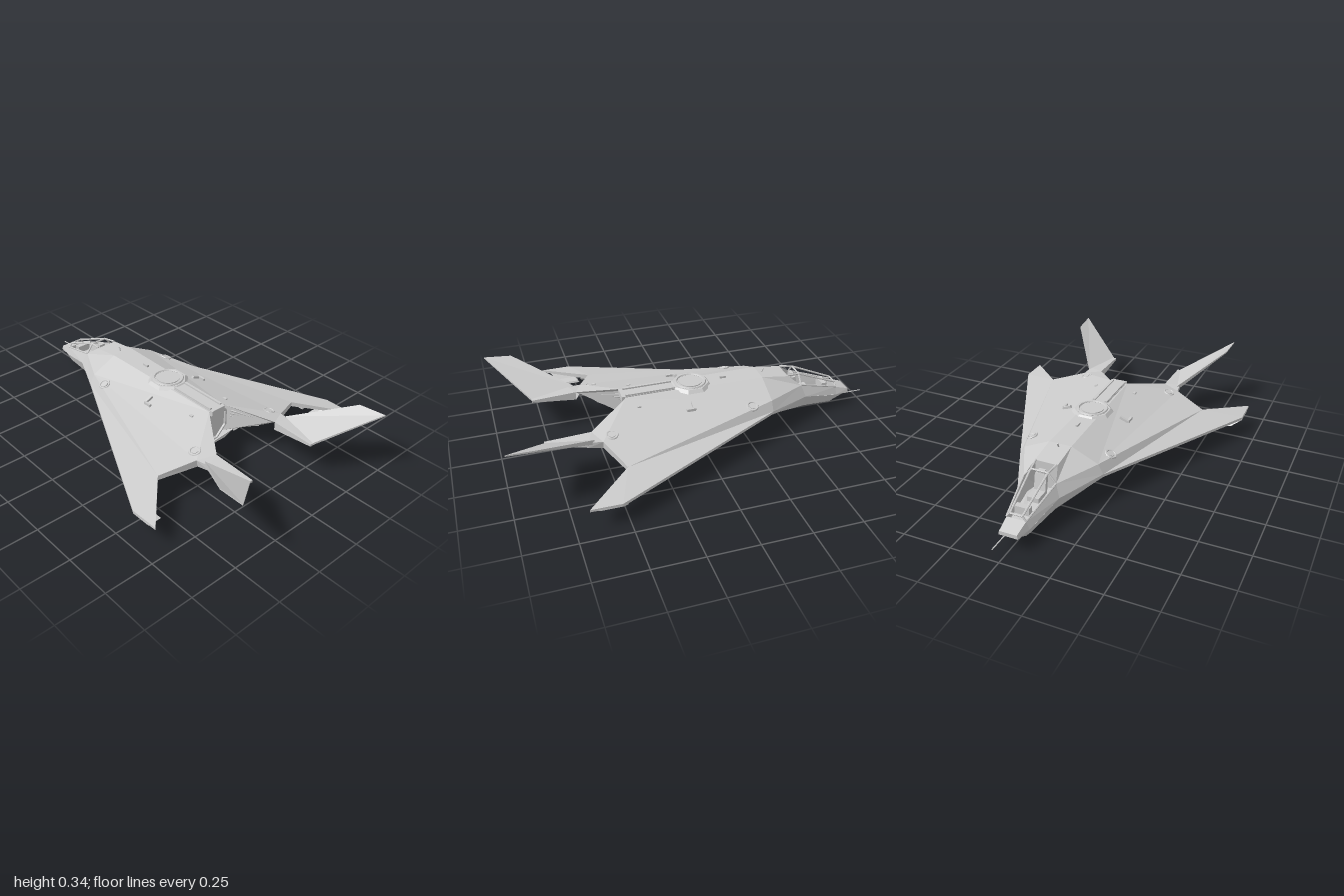
import * as THREE from 'three';

const grey = new THREE.MeshStandardMaterial({ color: 0xcccccc, flatShading: true, side: THREE.DoubleSide });
const dark = new THREE.MeshStandardMaterial({ color: 0xcccccc, flatShading: true, side: THREE.DoubleSide });
const V = (x, y, z) => new THREE.Vector3(x, y, z);

export function createModel() {
  const model = new THREE.Group();
  const add = (name, geo, x = 0, y = 0, z = 0, mat = grey, parent = model) => {
    const m = new THREE.Mesh(geo, mat);
    m.name = name;
    m.position.set(x, y, z);
    parent.add(m);
    return m;
  };

  // Flat panels given for the +x half, mirrored, each facing its hint direction
  const skin = (name, panels, mat = grey) => {
    const pos = [];
    for (const s of [1, -1]) for (const [hint, ...pts] of panels) {
      const h = V(hint[0] * s, hint[1], hint[2]);
      const p = pts.map(a => V(a[0] * s, a[1], a[2]));
      for (let i = 1; i < p.length - 1; i++) {
        const t = [p[0], p[i], p[i + 1]];
        const n = t[1].clone().sub(t[0]).cross(t[2].clone().sub(t[0]));
        if (n.dot(h) < 0) t.reverse();
        t.forEach(q => pos.push(q.x, q.y, q.z));
      }
    }
    const g = new THREE.BufferGeometry();
    g.setAttribute('position', new THREE.Float32BufferAttribute(pos, 3));
    g.computeVertexNormals();
    return add(name, g, 0, 0, 0, mat);
  };
  const bar = (name, a, b, r = 0.005, sides = 6) => {
    const p = V(...a), q = V(...b);
    const m = add(name, new THREE.CylinderGeometry(r, r, p.distanceTo(q), sides));
    m.position.copy(p).lerp(q, 0.5);
    m.quaternion.setFromUnitVectors(V(0, 1, 0), q.sub(p).normalize());
    return m;
  };
  const both = fn => [1, -1].forEach(fn);
  const UP = [0, 1, 0], DOWN = [0, -1, 0], OUT = [1, 0.3, 0], IN = [-1, 0, 0.4], BACK = [0, 0, 1], FORE = [0, 0, -1];

  // Key points of the upper skin
  const nT = [0.045, 0.1, -0.91], nC = [0.05, 0.08, -0.91], A = [0.05, 0.125, -0.83], Ac = [0.065, 0.085, -0.83];
  const B = [0.085, 0.195, -0.6], Bc = [0.11, 0.135, -0.62], S = [0.06, 0.25, -0.53];
  const s0 = [0.06, 0.27, -0.38], d0 = [0.2, 0.205, -0.38], c0 = [0.227, 0.155, -0.38];
  const s1 = [0.05, 0.27, 0.36], e = [0.135, 0.235, 0.42], f = [0.2, 0.205, 0.57], g = [0.2, 0.195, 0.8], g2 = [0.225, 0.195, 0.8];
  const h1 = [0.29, 0.195, 0.53], h = [0.28, 0.2, 0.6], n = [0.463, 0.15, 0.455], t = [0.67, 0.11, 0.68], c2 = [0.672, 0.11, 0.53];
  const low = (p, d) => [p[0], p[1] - d, p[2]];
  const mid = p => [0, p[1], p[2]];

  skin('upperFuselage', [
    [UP, mid(nT), nT, A, mid(A)], [OUT, nT, nC, Ac, A], [OUT, A, Ac, Bc, B],
    [OUT, B, Bc, c0, d0], [UP, B, d0, s0, S], [UP, mid(S), S, s0, mid(s0)],
    [UP, mid(s0), s0, s1, mid(s1)], [UP, s1, s0, d0, h1, f, e],
    [FORE, mid(nT), nT, nC, mid(nC)],
  ]);
  skin('wings', [
    [UP, n, h1, d0, c0, c2, t],
    [DOWN, low(n, 0.025), [0.283, 0.155, 0.53], [0.25, 0.125, 0.36], [0.25, 0.12, 0], [0.25, 0.125, -0.22], [0.205, 0.13, -0.42], low(c0, 0.015), low(c2, 0.015), low(t, 0.012)],
    [OUT, c0, low(c0, 0.015), low(c2, 0.015), c2], [OUT, c2, low(c2, 0.015), low(t, 0.012), t],
    [BACK, t, low(t, 0.012), low(n, 0.025), n], [BACK, n, low(n, 0.025), [0.283, 0.155, 0.53], h1],
    [OUT, Bc, c0, low(c0, 0.015), [0.205, 0.13, -0.42]],
  ]);
  skin('tailBooms', [
    [UP, f, h1, h, g2, g], [DOWN, low(f, 0.045), [0.283, 0.155, 0.53], low(h, 0.03), low(g2, 0.012), low(g, 0.012)],
    [IN, f, g, low(g, 0.012), low(f, 0.045)], [OUT, h1, h, low(h, 0.03), [0.283, 0.155, 0.53]],
    [OUT, h, g2, low(g2, 0.012), low(h, 0.03)], [BACK, g, g2, low(g2, 0.012), low(g, 0.012)],
  ]);

  // Canted tail fins, thick at the root and thin at the tip
  const r1 = [0.275, 0.205, 0.57], r2 = [0.215, 0.197, 0.8], q1 = [0.47, 0.335, 0.86], q2 = [0.478, 0.343, 1.0];
  const b1 = low(r1, 0.025), b2 = low(r2, 0.012), k1 = low(q1, 0.007), k2 = low(q2, 0.007);
  skin('tailFins', [
    [[-0.6, 1, 0], r1, q1, q2, r2], [[0.6, -1, 0], b1, k1, k2, b2],
    [FORE, r1, q1, k1, b1], [BACK, r2, q2, k2, b2], [OUT, q1, q2, k2, k1],
  ]);

  // Belly: half sections of centre, keel edge, lower side and wing joint
  const sec = (z, ...p) => p.map(([x, y]) => [x, y, z]);
  const belly = [
    sec(-0.91, [0, 0.08], [0.025, 0.08], [0.04, 0.08], [0.05, 0.08]),
    sec(-0.81, [0, 0.028], [0.035, 0.028], [0.055, 0.05], [0.068, 0.087]),
    sec(-0.62, [0, 0.042], [0.045, 0.042], [0.085, 0.065], [0.11, 0.135]),
    sec(-0.42, [0, 0.055], [0.06, 0.055], [0.13, 0.08], [0.205, 0.13]),
    sec(-0.22, [0, 0.028], [0.07, 0.028], [0.15, 0.065], [0.25, 0.125]),
    sec(0, [0, 0.003], [0.07, 0.003], [0.145, 0.045], [0.25, 0.12]),
    sec(0.34, [0, 0.04], [0.09, 0.04], [0.145, 0.065], [0.25, 0.125]),
  ];
  const shell = [];
  for (let i = 0; i < belly.length - 1; i++) for (let j = 0; j < 3; j++) {
    // The side strip is left open at the intakes and the aft bays
    if (j === 2 && (i === 3 || i === 5)) continue;
    const a = belly[i], b = belly[i + 1];
    shell.push([j ? [0.6, -1, 0] : DOWN, a[j], a[j + 1], b[j + 1], b[j]]);
  }
  skin('belly', shell);
  skin('bellyPan', [
    [UP, [0, 0.05, 0], [0.14, 0.05, 0], [0.14, 0.068, 0.34], [0, 0.05, 0.34]],
    [BACK, [0, 0.05, 0.34], [0, 0.04, 0.34], [0.09, 0.04, 0.34], [0.145, 0.066, 0.34]],
    [BACK, [0, 0.05, 0], [0.145, 0.045, 0], [0.25, 0.12, 0], [0.2, 0.2, 0], [0.05, 0.26, 0], [0, 0.26, 0]],
  ]);
  skin('intakeDucts', [
    [OUT, [0.13, 0.08, -0.42], [0.15, 0.065, -0.22], [0.17, 0.12, -0.22], [0.14, 0.13, -0.42]],
    [DOWN, [0.14, 0.13, -0.42], [0.205, 0.132, -0.42], [0.25, 0.127, -0.22], [0.17, 0.12, -0.22]],
  ], dark);
  both(s => {
    bar('intakeFrame', [s * 0.14, 0.073, -0.31], [s * 0.228, 0.13, -0.33], 0.005, 4);
    bar('bayStrut', [s * 0.145, 0.065, 0.34], [s * 0.25, 0.128, 0.4], 0.011, 4);
    bar('bayBrace', [s * 0.145, 0.058, 0.2], [s * 0.25, 0.124, 0.12], 0.006, 4);
  });

  // Rear bulkhead, octagonal exhaust and louvred side grilles
  const gl = [[0.1, 0.065, 0.31], [0.1, 0.225, 0.31], [0.2, 0.195, 0.55], [0.235, 0.115, 0.46]];
  skin('rearBulkhead', [
    [BACK, [0, 0.27, 0.3], [0.06, 0.265, 0.3], [0.11, 0.22, 0.31], [0.11, 0.07, 0.31], [0.07, 0.045, 0.3], [0, 0.045, 0.3]],
    [IN, ...gl], [IN, s1, e, f, gl[2], gl[1]], [IN, f, gl[2], gl[3], [0.283, 0.155, 0.53]],
    [DOWN, gl[0], gl[3], [0.25, 0.125, 0.36], [0.145, 0.066, 0.34]],
  ]);
  both(s => {
    for (let i = 0; i < 7; i++) {
      const u = 0.14 + i * 0.12, lerp = (a, b, k) => a.map((v, j) => v + (b[j] - v) * k);
      const a = lerp(gl[0], gl[1], u), b = lerp(gl[3], gl[2], u);
      const p = lerp(a, b, 0.15), q = lerp(a, b, 0.88);
      bar('grilleLouvre', [p[0] * s, p[1], p[2] + 0.004], [q[0] * s, q[1], q[2] + 0.004], 0.005, 4);
    }
  });
  const disc = add('exhaustDisc', new THREE.CylinderGeometry(0.1, 0.1, 0.05, 32), 0, 0.157, 0.3, dark);
  disc.rotation.x = Math.PI / 2;
  const rim = add('exhaustRim', new THREE.TorusGeometry(0.108, 0.009, 6, 8), 0, 0.157, 0.325);
  rim.rotation.z = Math.PI / 8;

  // Cockpit tub, seat and open canopy frame
  skin('cockpitTub', [
    [UP, [0, 0.09, -0.83], [0.045, 0.09, -0.83], [0.07, 0.11, -0.6], [0.055, 0.11, -0.53], [0, 0.11, -0.53]],
    [IN, A, B, [0.07, 0.11, -0.6], [0.045, 0.09, -0.83]], [IN, B, S, [0.055, 0.11, -0.53], [0.07, 0.11, -0.6]],
    [FORE, mid(S), S, [0.055, 0.11, -0.53], [0, 0.11, -0.53]],
    [BACK, mid(A), A, [0.045, 0.09, -0.83], [0, 0.09, -0.83]],
  ]);
  add('seatCushion', new THREE.BoxGeometry(0.06, 0.025, 0.07), 0, 0.128, -0.64);
  add('seatBack', new THREE.BoxGeometry(0.06, 0.1, 0.02), 0, 0.17, -0.59).rotation.x = 0.2;
  add('headRest', new THREE.BoxGeometry(0.035, 0.03, 0.018), 0, 0.222, -0.575);
  add('instrumentPanel', new THREE.BoxGeometry(0.075, 0.04, 0.03), 0, 0.135, -0.765);
  both(s => {
    bar('canopyRail', [s * 0.032, 0.148, -0.83], [s * 0.045, 0.245, -0.6]);
    bar('canopyRearRail', [s * 0.045, 0.245, -0.6], [s * 0.055, 0.252, -0.53]);
    bar('canopyPost', [s * 0.045, 0.245, -0.6], [s * 0.085, 0.195, -0.6]);
    bar('canopySill', [s * 0.05, 0.127, -0.83], [s * 0.085, 0.197, -0.6]);
    bar('canopyFoot', [s * 0.032, 0.148, -0.83], [s * 0.05, 0.125, -0.83]);
  });
  bar('canopyBow', [-0.045, 0.245, -0.6], [0.045, 0.245, -0.6]);
  bar('windscreenBar', [-0.032, 0.148, -0.83], [0.032, 0.148, -0.83]);
  bar('noseProbe', [0.03, 0.065, -0.88], [0.03, 0.065, -1.0], 0.003);

  // Dorsal hatch and spine fairing
  const hatch = add('dorsalHatch', new THREE.CylinderGeometry(0.095, 0.11, 0.016, 8), 0, 0.271, 0);
  hatch.rotation.y = Math.PI / 8;
  add('hatchRing', new THREE.TorusGeometry(0.075, 0.007, 6, 32), 0, 0.28, 0).rotation.x = Math.PI / 2;
  add('hatchLid', new THREE.CylinderGeometry(0.06, 0.06, 0.006, 32), 0, 0.281, 0);
  add('spineFairing', new THREE.BoxGeometry(0.085, 0.03, 0.28), 0, 0.26, 0.235);
  both(s => add('spineRail', new THREE.BoxGeometry(0.013, 0.012, 0.26), s * 0.034, 0.277, 0.225));
  bar('spineAerial', [0, 0.265, -0.4], [0, 0.288, -0.41], 0.004);
  add('spineSensor', new THREE.BoxGeometry(0.012, 0.012, 0.035), 0, 0.275, -0.18);

  // Round ports on the skin, blisters and pylons
  const port = (x, y, z, tilt, s) => {
    const p = new THREE.Group();
    p.name = 'roundPort';
    p.position.set(s * x, y, z);
    p.rotation.z = -s * tilt;
    add('portRing', new THREE.TorusGeometry(0.026, 0.006, 6, 20), 0, 0, 0, grey, p).rotation.x = Math.PI / 2;
    add('portLid', new THREE.CylinderGeometry(0.018, 0.018, 0.01, 16), 0, 0, 0, dark, p);
    model.add(p);
  };
  both(s => {
    port(0.217, 0.203, -0.265, 0.4, s);
    port(0.255, 0.203, 0.48, 0.25, s);
    port(0.19, 0.092, -0.15, 0.55, s);
    port(0.3, 0.122, 0.3, 0, s);
    add('deckScoop', new THREE.BoxGeometry(0.05, 0.014, 0.014), s * 0.165, 0.232, 0.035).rotation.z = -s * 0.4;
    add('deckScoopSide', new THREE.BoxGeometry(0.012, 0.014, 0.045), s * 0.187, 0.225, 0.055);
    add('deckSensor', new THREE.BoxGeometry(0.014, 0.012, 0.02), s * 0.115, 0.247, 0.305);
    for (const [x, z] of [[0.3, 0.4], [0.43, 0.38], [0.53, 0.45]])
      add('flapFairing', new THREE.BoxGeometry(0.016, 0.025, 0.07), s * x, 0.148 - x * 0.08, z);
    add('bellyFin', new THREE.BoxGeometry(0.006, 0.025, 0.06), s * 0.1, 0.035, -0.24);
  });

  // Hooked winglets under the wing tips
  const hook = new THREE.Shape([[0.67, 0.11], [0.672, 0.095], [0.62, 0.06], [0.57, 0.053], [0.575, 0.062], [0.61, 0.07], [0.645, 0.1]].map(p => new THREE.Vector2(...p)));
  const hookGeo = new THREE.ExtrudeGeometry(hook, { depth: 0.11, bevelEnabled: false });
  // Sweep the lower edge forward
  const hp = hookGeo.attributes.position;
  for (let i = 0; i < hp.count; i++) hp.setZ(i, hp.getZ(i) - (0.11 - hp.getY(i)) * 0.9);
  hookGeo.computeVertexNormals();
  add('leftWinglet', hookGeo, 0, 0, 0.54);
  add('rightWinglet', hookGeo, 0, 0, 0.54).scale.x = -1;

  return model;
}
